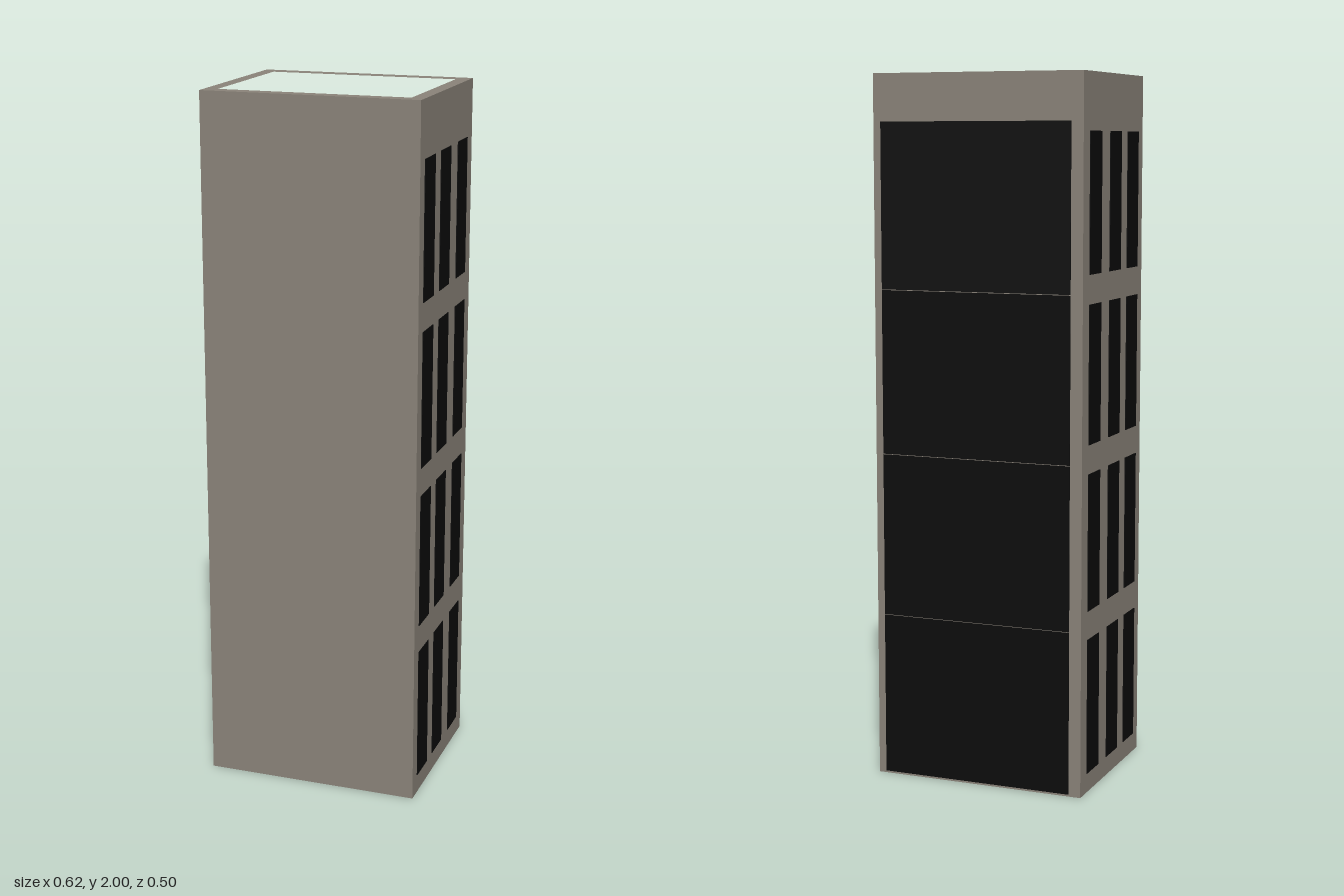
import * as THREE from 'three';

const W = 0.62, D = 0.498, H = 2, FLOOR = 1.885;

export function createModel() {
  const model = new THREE.Group();
  model.name = 'towerBlock';
  const concrete = new THREE.MeshStandardMaterial({ color: 0x8b847a });
  concrete.name = 'warm grey concrete';
  const glass = new THREE.MeshStandardMaterial({ color: 0x0b0b0b });
  glass.name = 'black glass';

  const add = (name, geometry, material) => {
    const mesh = new THREE.Mesh(geometry, material);
    mesh.name = name;
    model.add(mesh);
    return mesh;
  };
  // box given by its low and high corners
  const box = (name, material, [x0, y0, z0], [x1, y1, z1]) =>
    add(name, new THREE.BoxGeometry(x1 - x0, y1 - y0, z1 - z0), material)
      .position.set((x0 + x1) / 2, (y0 + y1) / 2, (z0 + z1) / 2);

  // flat slab with a rectangular opening, extruded upwards from y0
  const rect = (P, x0, x1, z0, z1) => {
    const p = new P();
    p.moveTo(x0, -z0).lineTo(x1, -z0).lineTo(x1, -z1).lineTo(x0, -z1).closePath();
    return p;
  };
  const slab = (name, outer, hole, y0, height) => {
    const shape = rect(THREE.Shape, ...outer);
    shape.holes.push(rect(THREE.Path, ...hole));
    const g = new THREE.ExtrudeGeometry(shape, { depth: height, bevelEnabled: false });
    g.rotateX(-Math.PI / 2).translate(0, y0, 0);
    add(name, g, concrete);
  };

  // outer walls with parapet, base, and sunken roof with a stair opening
  const inner = [-0.272, 0.272, -0.204, 0.209];
  const stair = [-0.107, -0.011, 0.146, 0.209];
  slab('walls', [-W / 2, W / 2, -D / 2, D / 2], inner, 0, H);
  slab('roof', inner, stair, FLOOR - 0.12, 0.12);
  box('base', concrete, [-0.272, 0, -0.204], [0.272, 0.02, 0.209]);

  // stairs going down towards the model's left
  const steps = 7, run = (stair[1] - stair[0]) / steps;
  for (let i = 0; i < steps; i++) {
    const x = stair[0] + i * run;
    box('stairStep', concrete, [x, FLOOR - 0.13, stair[2]],
      [x + run, FLOOR - 0.014 * (i + 1), stair[3]]);
  }
  // low kerb around the stairwell
  box('stairKerb', concrete, [-0.107, FLOOR, 0.14], [-0.011, FLOOR + 0.025, 0.146]);
  box('stairEndKerb', concrete, [-0.011, FLOOR, 0.14], [-0.009, FLOOR + 0.025, 0.209]);

  // side windows: four floors of three on both sides
  for (const side of [-1, 1]) {
    for (let row = 0; row < 4; row++) {
      for (const z of [-0.152, 0.012, 0.161]) {
        const g = new THREE.BoxGeometry(0.004, 0.386, 0.095);
        add('sideWindow', g, glass).position.set(side * W / 2, 0.248 + row * 0.467, z);
      }
    }
  }

  // glazed back, one wide pane per floor
  for (let row = 0; row < 4; row++) {
    const y = 0.006 + row * 0.466;
    box('backWindow', glass, [-0.275, y, -D / 2 - 0.002], [0.288, y + 0.464, -D / 2 + 0.002]);
  }
  return model;
}
